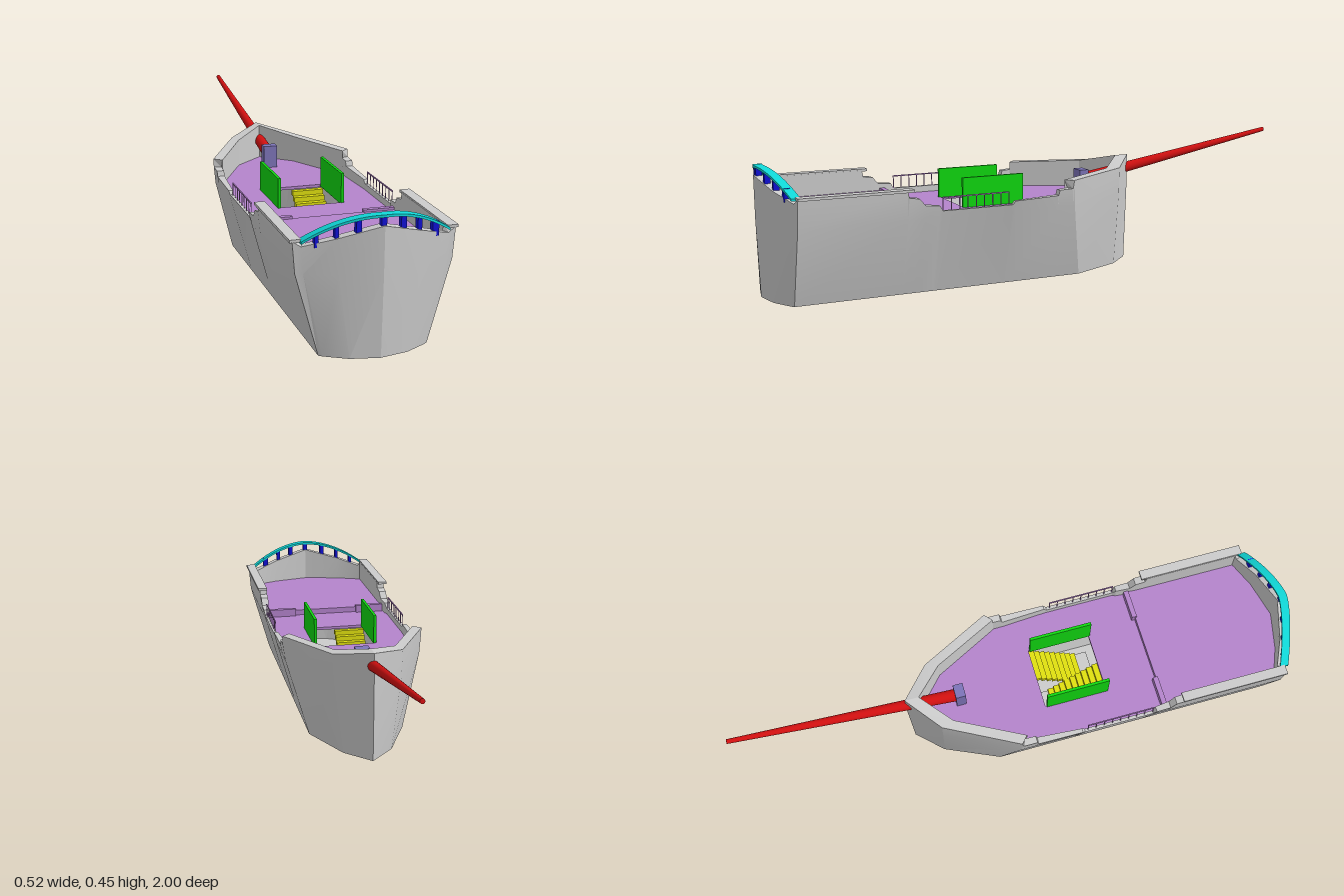
import * as THREE from 'three';
import { toCreasedNormals } from 'three/addons/utils/BufferGeometryUtils.js';

const MAIN_Y = 0.262, AFT_Y = 0.282;

const mat = (color, side = THREE.FrontSide) => new THREE.MeshStandardMaterial({ color, side });
const grey = mat(0xcccccc, THREE.DoubleSide);
const purple = mat(0xb484cc);
const green = mat(0x10d810);
const yellow = mat(0xe0e010);
const red = mat(0xd01010);
const blue = mat(0x1010d8);
const cyan = mat(0x10d8d8);
const lavender = mat(0x7d74b8);

function add(parent, name, geometry, material) {
  const mesh = new THREE.Mesh(geometry, material);
  mesh.name = name;
  parent.add(mesh);
  return mesh;
}

// box given by its min and max corners
function box(parent, name, material, [x0, x1], [y0, y1], [z0, z1]) {
  const mesh = add(parent, name, new THREE.BoxGeometry(x1 - x0, y1 - y0, z1 - z0), material);
  mesh.position.set((x0 + x1) / 2, (y0 + y1) / 2, (z0 + z1) / 2);
  return mesh;
}

// closed surface through rings of equal point count
function loft(rings) {
  const n = rings[0].length, index = [];
  for (let j = 0; j < rings.length - 1; j++)
    for (let i = 0; i < n; i++) {
      const a = j * n + i, b = j * n + (i + 1) % n;
      index.push(a, b, b + n, a, b + n, a + n);
    }
  const g = new THREE.BufferGeometry();
  g.setAttribute('position', new THREE.Float32BufferAttribute(rings.flat(2), 3));
  g.setIndex(index);
  return toCreasedNormals(g, 0.3);
}

// half outline, stern to bow: top x, y, z | bottom x, z | bulwark inset x, z
const OUTLINE = [
  [0, 0.405, 0.995, 0, 0.985, 0, -0.03],
  [0.13, 0.37, 0.965, 0.09, 0.967, 0, -0.03],
  [0.225, 0.342, 0.925, 0.16, 0.928, 0.01, -0.025],
  [0.25, 0.358, 0.92, 0.17, 0.92, 0.027, -0.025],
  [0.25, 0.358, 0.56, 0.17, 0.56, 0.027, 0],
  [0.25, 0.335, 0.555, 0.17, 0.555, 0.027, 0],
  [0.25, 0.33, 0.52, 0.17, 0.52, 0.027, 0],
  [0.25, 0.306, 0.5, 0.17, 0.5, 0.025, 0],
  [0.25, 0.302, 0.45, 0.17, 0.45, 0.02, 0],
  [0.247, 0.284, 0.44, 0.17, 0.44, 0.012, 0],
  [0.247, 0.284, 0.19, 0.17, 0.19, 0.012, 0],
  [0.25, 0.296, 0.18, 0.17, 0.18, 0.015, 0],
  [0.25, 0.302, 0.02, 0.17, 0.02, 0.025, 0],
  [0.25, 0.32, 0.015, 0.17, 0.0, 0.025, 0],
  [0.25, 0.322, -0.035, 0.17, -0.09, 0.025, 0.01],
  [0.25, 0.35, -0.04, 0.17, -0.1, 0.027, 0.025],
  [0.12, 0.358, -0.29, 0.085, -0.29, 0.015, 0.045],
  [0, 0.385, -0.39, 0, -0.38, 0, 0.05],
];

function createHull() {
  // mirror the half outline to the other side
  const full = OUTLINE.map((p) => [1, p]);
  OUTLINE.slice(1, -1).reverse().forEach((p) => full.push([-1, p]));
  const ring = (fn) => full.map(([s, p]) => {
    const [x, y, z] = fn(...p);
    return [s * x, y, z];
  });
  return loft([
    ring(() => [0, 0, 0.3]),
    ring((x, y, z, bx, bz) => [bx, 0, bz]),
    ring((x, y, z, bx, bz) => [bx + 0.9 * (x - bx), 0.26, bz + 0.9 * (z - bz)]),
    ring((x, y, z) => [x, y, z]),
    ring((x, y, z, bx, bz, ix, iz) => [x - ix, y, z + iz]),
    ring((x, y, z, bx, bz, ix, iz) => [x - ix, 0.25, z + iz]),
  ]);
}

// flat deck from a half outline of [x, z], top at y
function deck(half, y, thickness, hole) {
  const pts = [...half, ...half.slice().reverse().map(([x, z]) => [-x, z])];
  const shape = new THREE.Shape(pts.map(([x, z]) => new THREE.Vector2(x, -z)));
  if (hole) shape.holes.push(new THREE.Path(hole.map(([x, z]) => new THREE.Vector2(x, -z))));
  const g = new THREE.ExtrudeGeometry(shape, { depth: thickness, bevelEnabled: false });
  return g.rotateX(-Math.PI / 2).translate(0, y - thickness, 0);
}

// one flight going down: x range, z of the top step, direction along z
function createStairs(x0, x1, zTop, dir) {
  const flight = new THREE.Group();
  flight.name = 'stairFlight';
  const run = 0.02, rise = 0.017, steps = 9;
  const span = (a, b) => [Math.min(a, b), Math.max(a, b)];
  for (let i = 0; i < steps; i++) {
    const z = zTop + dir * run * i, y = MAIN_Y - 0.012 - rise * i;
    box(flight, 'tread', yellow, [x0, x1], [y - rise, y], span(z, z + dir * run));
  }
  const zl = zTop + dir * run * steps, yl = MAIN_Y - 0.012 - rise * steps;
  box(flight, 'landing', grey, [x0, x1], [yl - 0.01, yl], span(zl, zl + dir * 0.045));
  return flight;
}

export function createModel() {
  const ship = new THREE.Group();
  ship.name = 'ship';
  add(ship, 'hull', createHull(), grey);

  // decks
  add(ship, 'mainDeck', deck([[0.237, 0.49], [0.237, -0.02], [0.114, -0.26], [0.001, -0.36]],
    MAIN_Y, 0.01, [[-0.11, 0.085], [0.11, 0.085], [0.11, 0.31], [-0.11, 0.31]]), purple);
  add(ship, 'aftDeck', deck([[0.001, 0.975], [0.13, 0.945], [0.23, 0.91], [0.232, 0.49]],
    AFT_Y, 0.03), purple);

  // stairwell
  ship.add(createStairs(-0.11, 0, 0.31, -1), createStairs(0, 0.11, 0.085, 1));

  for (const s of [-1, 1]) {
    const span = (a, b) => (s > 0 ? [a, b] : [-b, -a]);
    box(ship, 'stairScreen', green, span(0.105, 0.115), [MAIN_Y - 0.005, 0.364], [0.09, 0.315]);
    box(ship, 'aftRailCap', grey, span(0.224, 0.258), [0.354, 0.363], [0.54, 0.92]);
    box(ship, 'deckStepLedge', purple, span(0.12, 0.225), [MAIN_Y - 0.005, 0.29], [0.478, 0.496]);

    // open railing along the waist
    const railing = new THREE.Group();
    railing.name = 'waistRailing';
    box(railing, 'handrail', purple, span(0.238, 0.242), [0.325, 0.329], [0.2, 0.44]);
    for (let i = 0; i < 9; i++) {
      const z = 0.2 + 0.0295 * i;
      box(railing, 'baluster', purple, span(0.239, 0.241), [0.28, 0.326], [z, z + 0.003]);
    }
    ship.add(railing);
  }

  // curved stern rail: small rectangular section swept along an arch
  const arch = (x) => {
    const t = Math.abs(x) / 0.227;
    return [x, 0.433 - 0.078 * t ** 2, 0.978 - 0.06 * t ** 1.3];
  };
  const N = 32, sections = [];
  for (let i = 0; i <= N; i++) {
    const [x, y, z] = arch(-0.227 + (0.454 * i) / N);
    sections.push([[x, y - 0.004, z - 0.015], [x, y - 0.004, z + 0.015],
      [x, y + 0.004, z + 0.015], [x, y + 0.004, z - 0.015]]);
  }
  const collapse = (s) => s.map(() => [0, 1, 2].map((k) => (s[0][k] + s[2][k]) / 2));
  const rail = loft([collapse(sections[0]), ...sections, collapse(sections[N])]);
  add(ship, 'sternRail', rail, mat(cyan.color, THREE.DoubleSide));

  // posts under the stern rail
  for (const [x, w] of [[-0.185, 0.012], [-0.13, 0.012], [-0.07, 0.016], [0, 0.016],
    [0.064, 0.016], [0.119, 0.013], [0.176, 0.02]]) {
    const [, y, z] = arch(x);
    const foot = 0.4 - 0.28 * Math.abs(x);
    box(ship, 'sternRailPost', blue, [x - w / 2, x + w / 2], [foot - 0.008, y], [z - 0.01, z + 0.01]);
  }

  // bowsprit and the post that holds its heel
  const heel = new THREE.Vector3(0, 0.308, -0.21), tip = new THREE.Vector3(0, 0.446, -0.999);
  const dir = tip.clone().sub(heel);
  const sprit = add(ship, 'bowsprit', new THREE.CylinderGeometry(0.008, 0.022, dir.length(), 20), red);
  sprit.position.copy(heel).add(tip).multiplyScalar(0.5);
  sprit.quaternion.setFromUnitVectors(new THREE.Vector3(0, 1, 0), dir.normalize());
  box(ship, 'bowspritPost', lavender, [-0.025, 0.025], [MAIN_Y - 0.005, 0.343], [-0.215, -0.18]);

  return ship;
}
